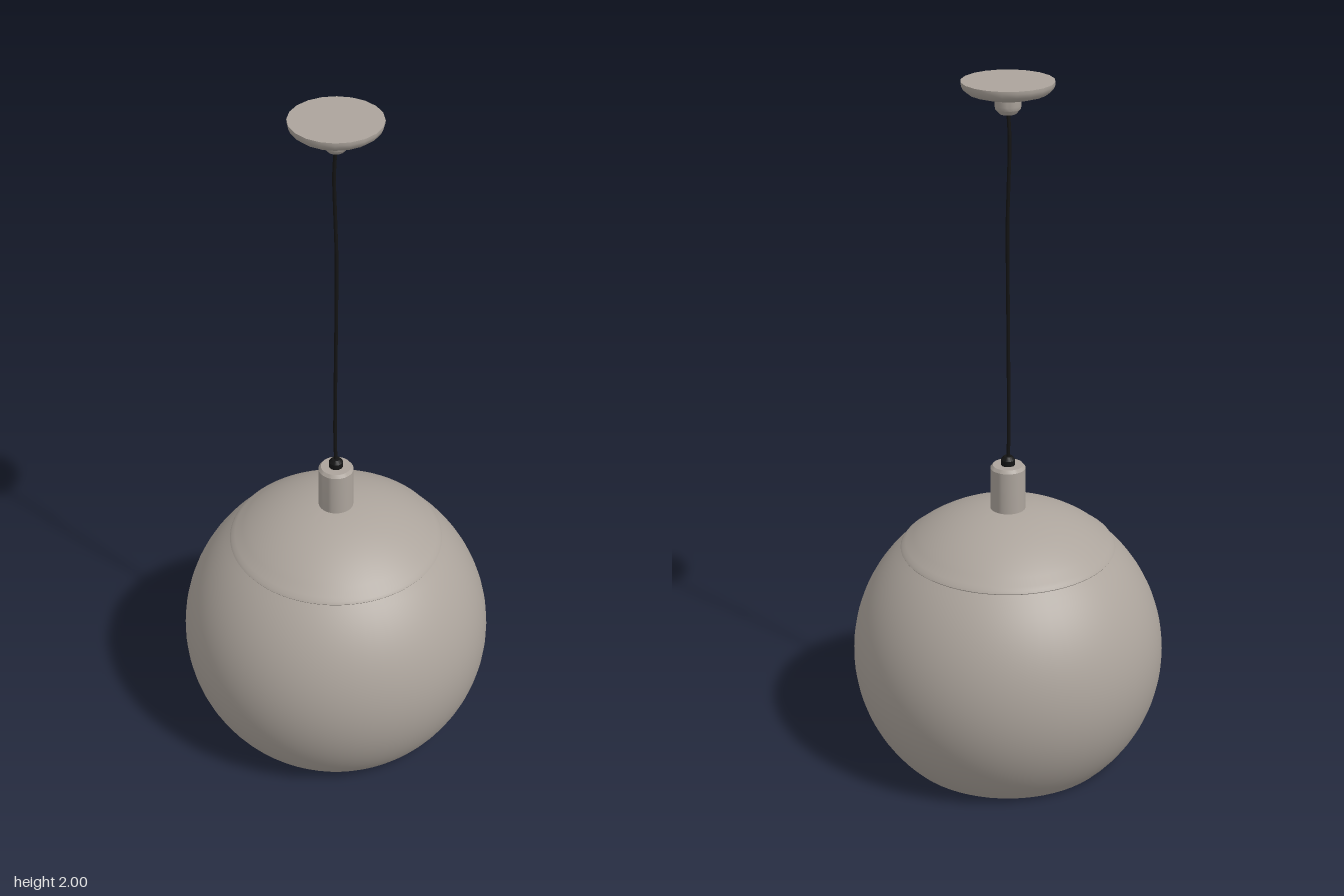
import * as THREE from 'three';
import { toCreasedNormals } from 'three/addons/utils/BufferGeometryUtils.js';

const R = 0.45, CY = 0.318; // globe radius and centre height

export function createModel() {
  const group = new THREE.Group();
  const shell = new THREE.MeshStandardMaterial({ color: 0xaca49c, side: THREE.DoubleSide });
  shell.name = 'warm grey metal';
  const black = new THREE.MeshStandardMaterial({ color: 0x141414 });
  black.name = 'black cord';

  const add = (name, geometry, material) => {
    const mesh = new THREE.Mesh(geometry, material);
    mesh.name = name;
    group.add(mesh);
  };
  // Profiles run from bottom to top as [radius, height]
  const turned = (profile, sides, crease = 0.6) => toCreasedNormals(
    new THREE.LatheGeometry(profile.map(([r, y]) => new THREE.Vector2(r, y)), sides), crease);
  const arc = (radius, y0, y1, steps) => {
    const a0 = Math.asin((y0 - CY) / radius), a1 = Math.asin(Math.min(1, (y1 - CY) / radius));
    return Array.from({ length: steps + 1 }, (_, i) => {
      const a = a0 + (a1 - a0) * i / steps;
      return [Math.max(0, radius * Math.cos(a)), CY + radius * Math.sin(a)];
    });
  };

  // Open globe with a thin wall
  const outer = arc(R, 0, 0.648, 28);
  const inner = arc(R - 0.006, 0, 0.648, 28).reverse();
  add('globeShade', turned([...inner, ...outer], 64), shell);

  // Domed cap with a softly rolled rim
  add('shadeCap', turned([[0.302, 0.64], [0.308, 0.65], [0.303, 0.657], [0.293, 0.664],
    ...arc(R + 0.004, 0.682, CY + R + 0.004, 14)], 64, 0.9), shell);

  // Lamp holder and cord grip
  add('lampHolder', turned([[0, 0.755], [0.05, 0.755], [0.05, 0.893], [0.043, 0.902], [0, 0.902]], 32), shell);
  add('cordGrip', turned([[0, 0.9], [0.02, 0.9], [0.02, 0.918], [0.012, 0.928], [0, 0.928]], 16), black);

  // Slightly wavy hanging cord
  const path = new THREE.CatmullRomCurve3([
    [0, 0.91, 0], [0.001, 1.0, -0.004], [-0.001, 1.2, -0.001], [-0.004, 1.42, 0.004],
    [0.002, 1.6, 0], [0.003, 1.72, -0.005], [0, 1.84, -0.006], [0, 1.93, 0],
  ].map((p) => new THREE.Vector3(...p)));
  add('cord', new THREE.TubeGeometry(path, 60, 0.005, 8), black);

  // Ceiling canopy and its strain relief
  add('ceilingCanopy', turned([[0, 1.957], [0.05, 1.958], [0.085, 1.963], [0.108, 1.97], [0.12, 1.98],
    [0.125, 1.992], [0.125, 2], [0, 2]], 20), shell);
  add('canopyNeck', turned([[0, 1.912], [0.022, 1.912], [0.034, 1.925], [0.036, 1.935], [0.036, 1.96], [0, 1.96]], 20), shell);

  return group;
}
